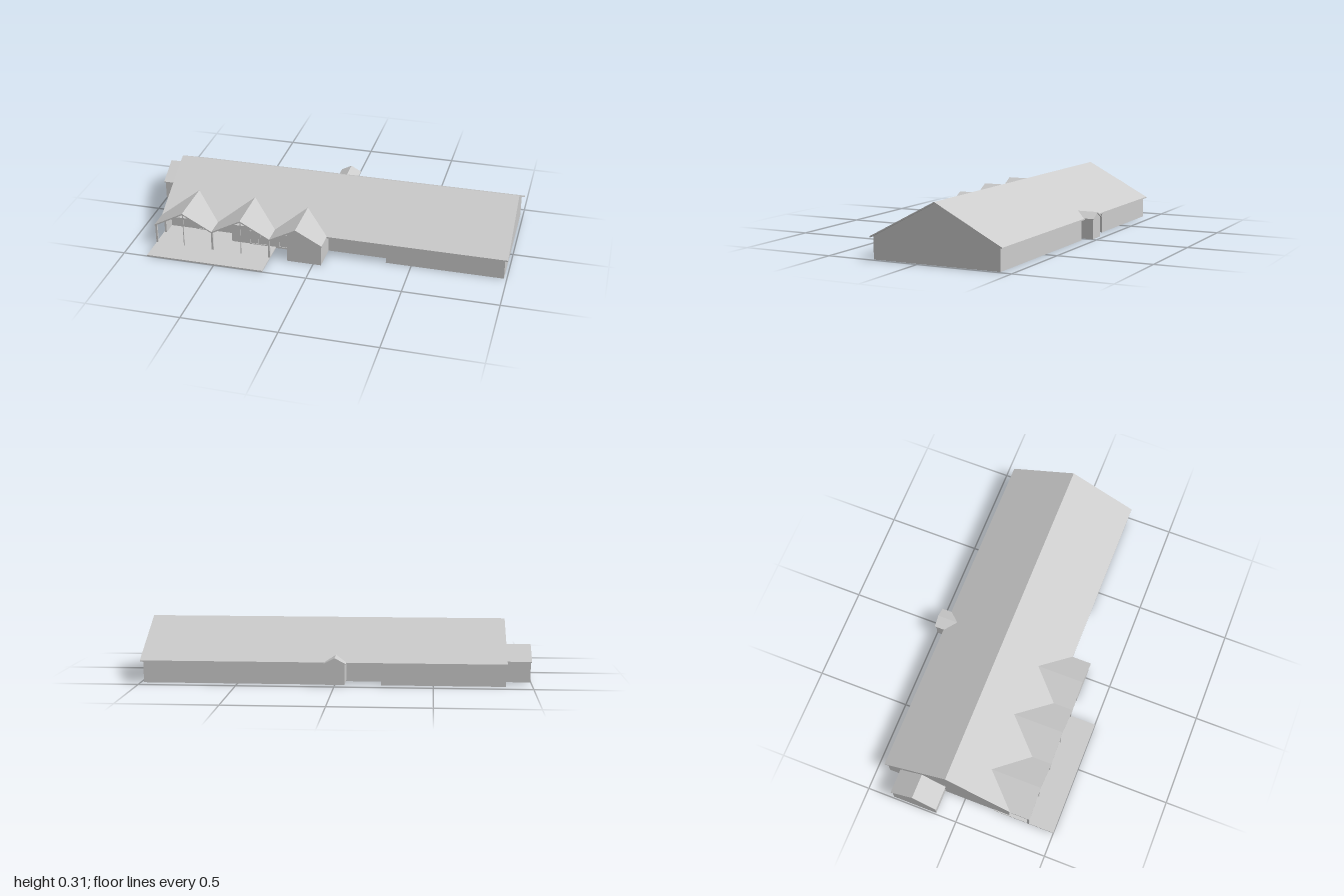
import * as THREE from 'three';

const SLOPE = 0.528, RIDGE_Y = 0.305, RIDGE_Z = -0.095;
const grey = new THREE.MeshStandardMaterial({ color: 0xcccccc, flatShading: true, side: THREE.DoubleSide });

function add(parent, name, geometry) {
  const mesh = new THREE.Mesh(geometry, grey);
  mesh.name = name;
  parent.add(mesh);
  return mesh;
}

// Box given by its lower and upper limits
function box(parent, name, x0, x1, y0, y1, z0, z1) {
  const mesh = add(parent, name, new THREE.BoxGeometry(x1 - x0, y1 - y0, z1 - z0));
  mesh.position.set((x0 + x1) / 2, (y0 + y1) / 2, (z0 + z1) / 2);
  return mesh;
}

function shapeOf(points) {
  return new THREE.Shape(points.map(([x, y]) => new THREE.Vector2(x, y)));
}

function extrude(points, depth) {
  return new THREE.ExtrudeGeometry(shapeOf(points), { depth, bevelEnabled: false });
}

// Pitched roof slab running along z; the ridge lies over x = 0
function chevron(half, eave, peak, thick, z0, z1) {
  const g = extrude([[-half, eave], [-half, eave - thick], [0, peak - thick],
    [half, eave - thick], [half, eave], [0, peak]], z1 - z0);
  return g.translate(0, 0, z0);
}

// Slide the rear end of a small roof onto the slope of the main roof
function fitToSlope(g, back, ridgeZ) {
  const p = g.attributes.position;
  for (let i = 0; i < p.count; i++) {
    if (Math.abs(p.getZ(i) - back) < 1e-5) p.setZ(i, ridgeZ + (RIDGE_Y - p.getY(i)) / SLOPE);
  }
  g.computeVertexNormals();
  return g;
}

// Small gabled room, open underneath, with its gable facing +z
function gabledRoom(name, half, eave, peak, back, front, roof) {
  const room = new THREE.Group();
  room.name = name;
  const w = half - 0.007, t = 0.003, f = front - 0.006, base = 0.01;
  for (const s of [-1, 1]) {
    const wall = box(room, 'sideWall', -t / 2, t / 2, base, eave, back, f);
    wall.position.x = s * (w - t / 2);
  }
  const gable = add(room, 'gableWall', new THREE.ShapeGeometry(
    shapeOf([[-w, base], [w, base], [w, eave], [0, peak - 0.004], [-w, eave]])));
  gable.position.z = f;
  add(room, 'roof', roof);
  return room;
}

export function createModel() {
  const model = new THREE.Group();
  model.name = 'longHouse';

  // Main walls: floor outline (x, z) with the recesses and the entrance block
  const plan = [[0.985, 0.25], [0.985, -0.435], [0.05, -0.435], [0.05, -0.33], [-0.235, -0.33],
    [-0.235, -0.435], [-0.865, -0.435], [-0.865, 0.25], [-0.855, 0.25], [-0.855, 0.17],
    [-0.48, 0.17], [-0.48, 0.25], [-0.14, 0.25], [-0.14, 0.36], [0.043, 0.36],
    [0.043, 0.205], [0.365, 0.205], [0.365, 0.25]];
  add(model, 'mainWalls', extrude(plan.map(([x, z]) => [x, -z]), 0.113).rotateX(-Math.PI / 2));

  // Attic with the two end gables
  const attic = add(model, 'attic',
    extrude([[-0.343, 0.112], [0.343, 0.112], [0.343, 0.115], [0, 0.298], [-0.343, 0.115]], 1.85));
  attic.rotation.y = Math.PI / 2;
  attic.position.set(-0.865, 0, RIDGE_Z + 0.002);

  // Main roof
  const mainRoof = add(model, 'mainRoof', chevron(0.357, RIDGE_Y - 0.357 * SLOPE, RIDGE_Y, 0.007, -0.872, 1));
  mainRoof.rotation.y = Math.PI / 2;
  mainRoof.position.z = RIDGE_Z;

  // Front cross gables running into the main roof
  for (const [x0, x1, peak] of [[-0.873, -0.553, 0.205], [-0.553, -0.235, 0.205], [-0.235, 0.048, 0.194]]) {
    const g = fitToSlope(chevron((x1 - x0) / 2, 0.118, peak, 0.008, 0.1, 0.367), 0.1, RIDGE_Z);
    add(model, 'crossGableRoof', g).position.x = (x0 + x1) / 2;
  }

  // Gable wall of the entrance block
  const entrance = add(model, 'entranceGable',
    extrude([[-0.14, 0.11], [0.043, 0.11], [0.043, 0.116], [-0.0935, 0.188], [-0.14, 0.164]], 0.11));
  entrance.position.z = 0.25;

  // Terrace and porch floor
  box(model, 'terrace', -0.87, -0.235, 0, 0.007, 0.165, 0.5);

  // Porch posts under the valleys, slimmer ones under the ridges
  for (const x of [-0.866, -0.553, -0.239]) box(model, 'porchPost', x - 0.005, x + 0.005, 0, 0.114, 0.353, 0.363);
  for (const x of [-0.713, -0.394]) box(model, 'ridgePost', x - 0.002, x + 0.002, 0, 0.2, 0.357, 0.361);

  // Doors and low panel behind the porch
  for (const [name, x0, x1, top, z] of [['lowPanel', -0.705, -0.615, 0.042, 0.17],
    ['door', -0.38, -0.33, 0.09, 0.25], ['door', -0.325, -0.275, 0.09, 0.25],
    ['sideDoor', -0.218, -0.165, 0.088, 0.25]]) {
    const frame = shapeOf([[x0, 0.007], [x1, 0.007], [x1, top], [x0, top]]);
    const b = 0.005;
    frame.holes.push(shapeOf([[x0 + b, 0.012], [x0 + b, top - b], [x1 - b, top - b], [x1 - b, 0.012]]));
    add(model, name, new THREE.ExtrudeGeometry(frame, { depth: 0.004, bevelEnabled: false })).position.z = z;
  }

  // Side wing on the right-hand end
  const wing = gabledRoom('sideWing', 0.128, 0.117, 0.19, 0.865, 1,
    chevron(0.128, 0.117, 0.19, 0.005, 0.868, 1));
  wing.rotation.y = -Math.PI / 2;
  wing.position.z = -0.234;
  model.add(wing);

  // Rear porch
  const rear = gabledRoom('rearPorch', 0.056, 0.118, 0.148, 0.33, 0.504,
    fitToSlope(chevron(0.056, 0.118, 0.148, 0.005, 0.4, 0.504), 0.4, -RIDGE_Z));
  rear.rotation.y = Math.PI;
  rear.position.x = -0.004;
  model.add(rear);

  return model;
}
